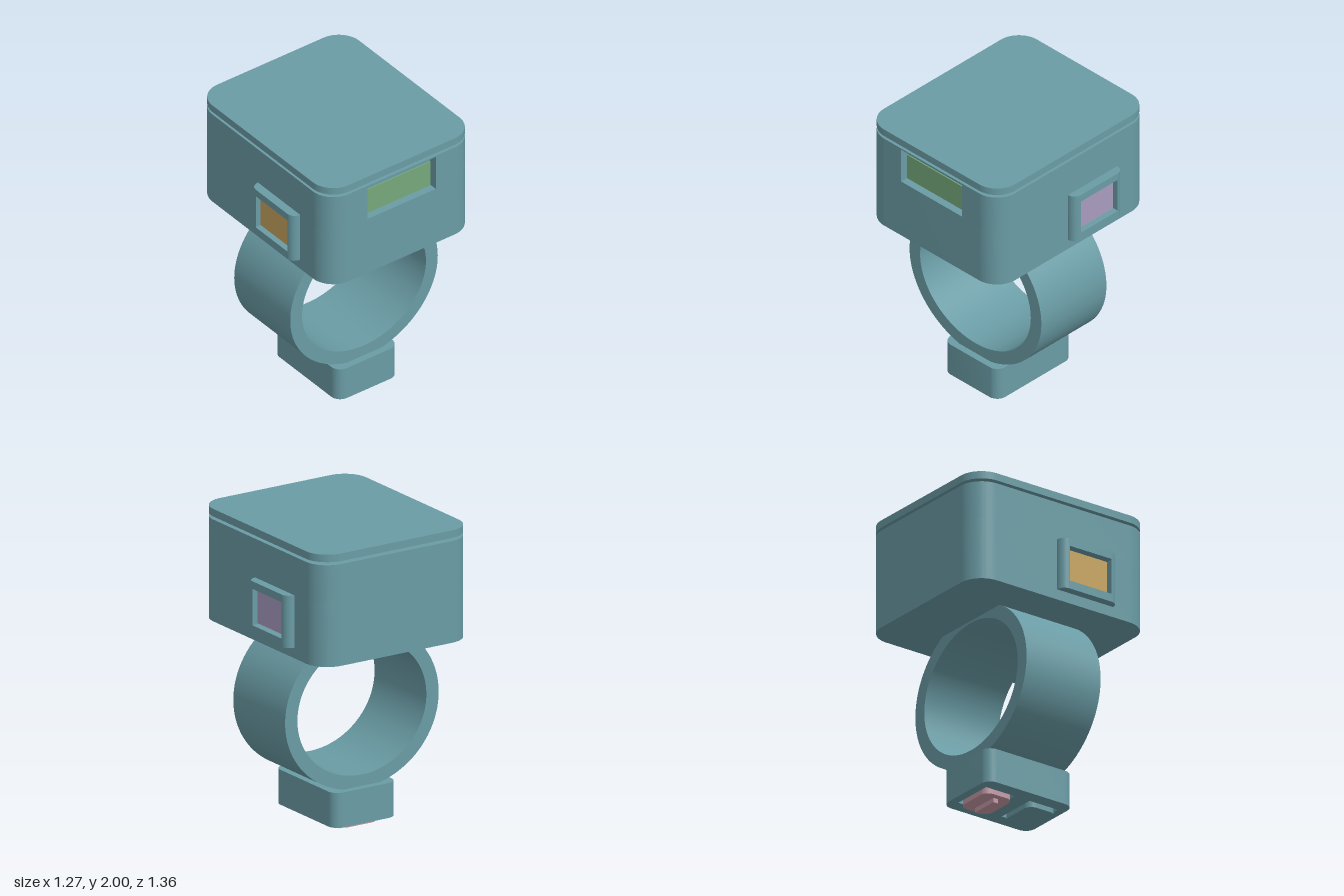
import * as THREE from 'three';
import { toCreasedNormals } from 'three/addons/utils/BufferGeometryUtils.js';

const paint = (name, color) => {
  const m = new THREE.MeshStandardMaterial({ color });
  m.name = name;
  return m;
};

// Rounded rectangle; an optional notch {x0, x1, depth} is cut into its lower edge
function roundedRect(hx, hy, r, notch) {
  const s = new THREE.Shape();
  s.moveTo(-hx + r, -hy);
  if (notch) {
    s.lineTo(notch.x0, -hy);
    s.lineTo(notch.x0, -hy + notch.depth);
    s.lineTo(notch.x1, -hy + notch.depth);
    s.lineTo(notch.x1, -hy);
  }
  s.lineTo(hx - r, -hy);
  s.absarc(hx - r, -hy + r, r, -Math.PI / 2, 0);
  s.lineTo(hx, hy - r);
  s.absarc(hx - r, hy - r, r, 0, Math.PI / 2);
  s.lineTo(-hx + r, hy);
  s.absarc(-hx + r, hy - r, r, Math.PI / 2, Math.PI);
  s.lineTo(-hx, -hy + r);
  s.absarc(-hx + r, -hy + r, r, Math.PI, Math.PI * 1.5);
  return s;
}

function rectHole(cx, cy, hx, hy) {
  const p = new THREE.Path();
  p.moveTo(cx - hx, cy - hy);
  p.lineTo(cx - hx, cy + hy);
  p.lineTo(cx + hx, cy + hy);
  p.lineTo(cx + hx, cy - hy);
  p.closePath();
  return p;
}

function extrude(shape, depth, curveSegments = 12) {
  const g = new THREE.ExtrudeGeometry(shape, { depth, curveSegments, bevelEnabled: false });
  return toCreasedNormals(g, 0.5);
}

export function createModel() {
  const teal = paint('teal shell', 0x6a9ca5);
  const green = paint('green display', 0x76a87a);
  const purple = paint('purple window', 0xa89cc0);
  const pink = paint('pink insert', 0xc49aa5);
  const tan = paint('tan window', 0xc8a460);
  const model = new THREE.Group();

  const add = (parent, name, geometry, material, x = 0, y = 0, z = 0) => {
    const mesh = new THREE.Mesh(geometry, material);
    mesh.name = name;
    mesh.position.set(x, y, z);
    parent.add(mesh);
    return mesh;
  };
  // Upright slab of a plan shape; the shape's lower edge faces the front
  const slab = (parent, name, shape, y0, y1, material, x = 0, z = 0) =>
    add(parent, name, extrude(shape, y1 - y0).rotateX(-Math.PI / 2), material, x, y0, z);
  const plate = (parent, name, size, material, x, y, z) =>
    add(parent, name, new THREE.BoxGeometry(...size), material, x, y, z);

  // Housing with a recess in its front, and a lid floating just above it
  const housing = new THREE.Group();
  housing.name = 'housing';
  model.add(housing);
  const plan = roundedRect(0.577, 0.68, 0.16);
  const cutPlan = roundedRect(0.577, 0.68, 0.16, { x0: -0.268, x1: 0.268, depth: 0.06 });
  slab(housing, 'housingLower', plan, 1.26, 1.675, teal);
  slab(housing, 'housingRecessed', cutPlan, 1.675, 1.92, teal);
  slab(housing, 'housingRim', plan, 1.92, 1.93, teal);
  slab(housing, 'lid', plan, 1.95, 2, teal);
  plate(housing, 'frontDisplay', [0.536, 0.18, 0.008], green, 0, 1.765, 0.624);

  // Side frames, each a half turn from the other
  const sides = [['leftFrame', purple, 0], ['rightFrame', tan, Math.PI]];
  for (const [name, glass, turn] of sides) {
    const side = new THREE.Group();
    side.name = name;
    side.rotation.y = turn;
    model.add(side);
    const frame = new THREE.Group();
    frame.position.set(0.575, 0, -0.17);
    frame.rotation.y = Math.PI / 2;
    side.add(frame);
    // Plan of the frame, its inner half sunk into the housing
    const solid = roundedRect(0.218, 0.06, 0.055);
    const open = roundedRect(0.218, 0.06, 0.055, { x0: -0.168, x1: 0.168, depth: 0.06 });
    slab(frame, 'frameBottom', solid, 1.33, 1.385, teal);
    slab(frame, 'frameUprights', open, 1.385, 1.625, teal);
    slab(frame, 'frameTop', solid, 1.625, 1.675, teal);
    plate(frame, 'windowBacking', [0.334, 0.185, 0.008], pink, 0, 1.478, 0.006);
    plate(frame, 'window', [0.3, 0.21, 0.009], glass, 0, 1.505, 0.028);
  }

  // Oval ring
  const oval = new THREE.Shape();
  oval.absellipse(0, 0, 0.58, 0.53, 0, Math.PI * 2);
  const bore = new THREE.Path();
  bore.absellipse(0, 0, 0.487, 0.44, 0, Math.PI * 2, true);
  oval.holes.push(bore);
  add(model, 'ring', extrude(oval, 0.58, 64), teal, 0, 0.805, -0.29);

  // Foot block with two sockets underneath
  const foot = new THREE.Group();
  foot.name = 'foot';
  model.add(foot);
  slab(foot, 'footBlock', roundedRect(0.24, 0.337, 0.07), 0.1, 0.29, teal);
  const base = roundedRect(0.24, 0.337, 0.07);
  base.holes.push(rectHole(0, -0.172, 0.145, 0.112), rectHole(0, 0.168, 0.145, 0.112));
  slab(foot, 'footSockets', base, 0.06, 0.1, teal);
  plate(foot, 'socketFloor', [0.288, 0.008, 0.222], pink, 0, 0.096, -0.168);
  const button = roundedRect(0.14, 0.108, 0.055);
  slab(foot, 'frontButton', button, 0.03, 0.1, teal, 0, 0.172);
  slab(foot, 'backButton', button, 0.03, 0.1, pink, 0, -0.168);
  plate(foot, 'buttonRidge', [0.195, 0.03, 0.036], pink, 0, 0.015, -0.168);

  return model;
}
